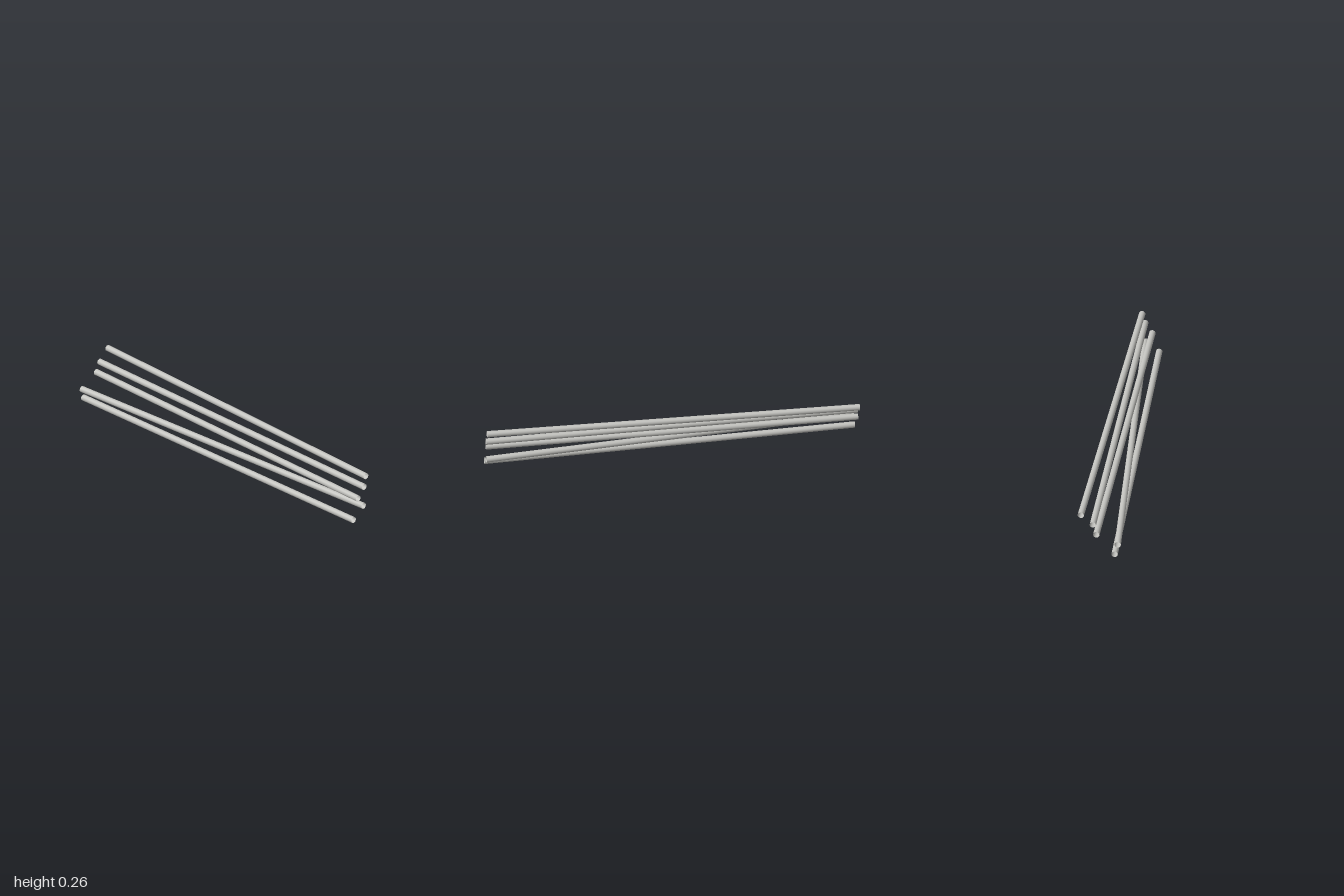
import * as THREE from 'three';

const RADIUS = 0.017;

// Each rod: height, centre x, z at its right (-x) end, z at its left (+x) end
const RODS = [
  { y: 0.017, x: -0.005, zRight: 0.083, zLeft: 0.1 },
  { y: 0.075, x: -0.001, zRight: 0.099, zLeft: 0.026 },
  { y: 0.132, x: -0.005, zRight: -0.015, zLeft: 0.064 },
  { y: 0.189, x: 0.002, zRight: -0.034, zLeft: 0.025 },
  { y: 0.246, x: 0, zRight: -0.098, zLeft: 0.009 },
];

export function createModel() {
  const group = new THREE.Group();
  group.name = 'stackedTubes';

  const metal = new THREE.MeshStandardMaterial({ color: 0xc2c2be, side: THREE.DoubleSide });
  metal.name = 'light grey metal';

  // Thin open-ended tube lying along x
  const tube = new THREE.CylinderGeometry(RADIUS, RADIUS, 1.99, 24, 1, true);
  tube.rotateZ(-Math.PI / 2);

  // Tubes lie level one above another, each turned slightly about y
  RODS.forEach(({ y, x, zRight, zLeft }, i) => {
    const mesh = new THREE.Mesh(tube, metal);
    mesh.name = `tube${i + 1}`;
    mesh.position.set(x, y, (zRight + zLeft) / 2);
    mesh.rotation.y = -Math.asin((zLeft - zRight) / 1.99);
    group.add(mesh);
  });

  return group;
}
